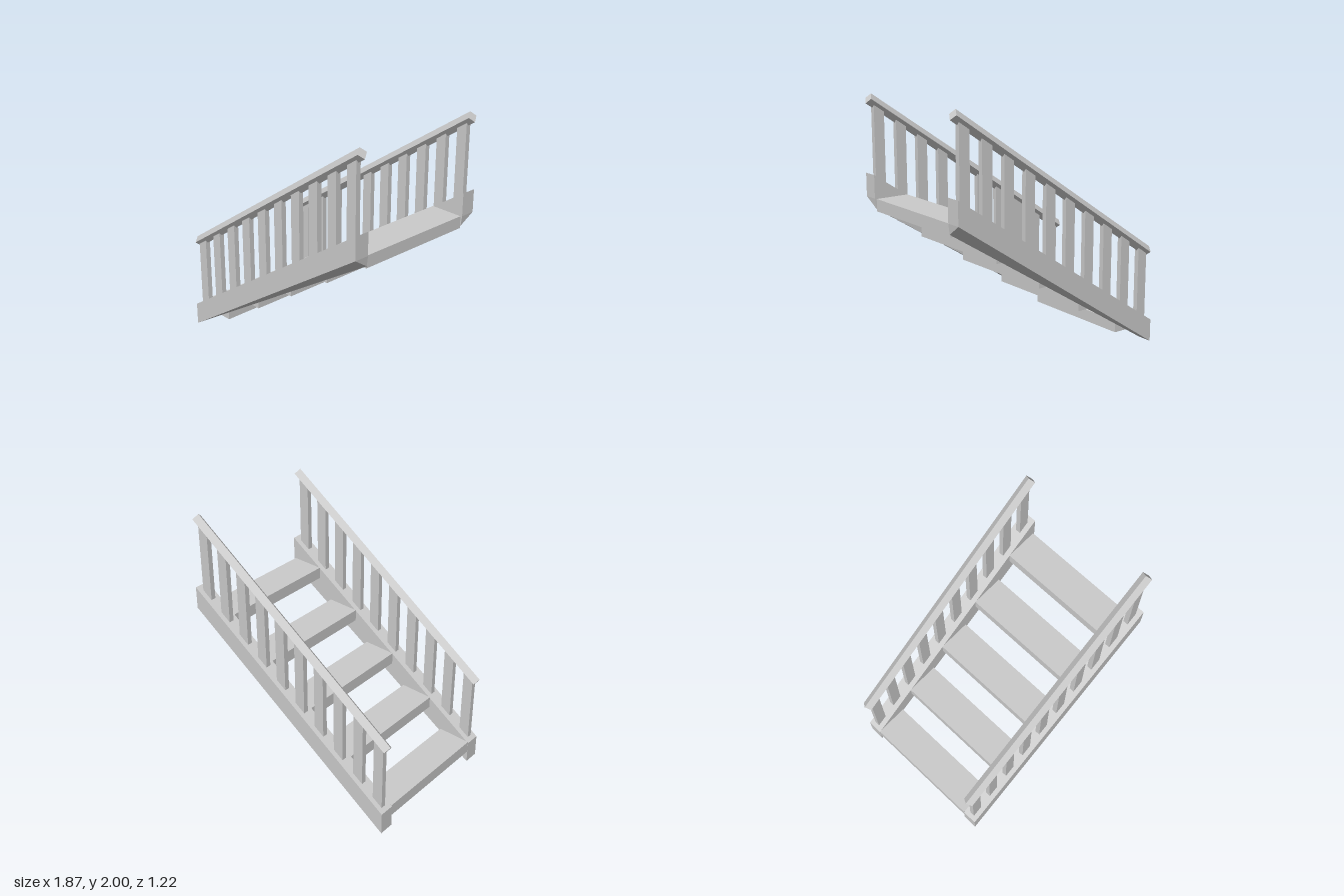
import * as THREE from 'three';
import { ConvexGeometry } from 'three/addons/geometries/ConvexGeometry.js';

const material = new THREE.MeshStandardMaterial({ color: 0xcccccc, flatShading: true });

function addMesh(parent, geometry, name) {
  const mesh = new THREE.Mesh(geometry, material);
  mesh.name = name;
  parent.add(mesh);
  return mesh;
}

// Heights of the sloping lines at a given x
const stringerTop = (x) => 0.79 + 0.663 * x;
const railAxis = (x) => 1.35 + 0.674 * x;

// Sloping side beam whose underside drops towards the inner edge at the upper end
function stringerGeometry(side) {
  const outer = 0.61 * side, inner = 0.49 * side;
  const points = [];
  for (const z of [outer, inner]) {
    for (const [x, y] of [[-0.92, 0], [-0.92, 0.18], [0.92, 1.4], [0.92, 1.22]]) {
      points.push(new THREE.Vector3(x, y, z));
    }
  }
  points.push(new THREE.Vector3(0.91, 1.14, inner));
  return new ConvexGeometry(points);
}

// Upright post with ends cut along the slope
function balusterGeometry(x) {
  const geometry = new THREE.BoxGeometry(0.085, 1, 0.04);
  const p = geometry.attributes.position;
  for (let i = 0; i < p.count; i++) {
    const px = p.getX(i) + x;
    p.setXYZ(i, px, p.getY(i) > 0 ? railAxis(px) : stringerTop(px) - 0.05, p.getZ(i));
  }
  geometry.computeVertexNormals();
  return geometry;
}

export function createModel() {
  const model = new THREE.Group();
  model.name = 'staircase';

  // Treads
  for (let i = 0; i < 5; i++) {
    const tread = addMesh(model, new THREE.BoxGeometry(0.268, 0.095, 0.98), 'tread');
    tread.position.set(-0.785 + i * 0.389, 0.144 + i * 0.256, 0);
  }

  for (const side of [1, -1]) {
    const flank = new THREE.Group();
    flank.name = side > 0 ? 'frontFlank' : 'backFlank';
    model.add(flank);

    addMesh(flank, stringerGeometry(side), 'stringer');

    // Handrail: square bar turned on its edge
    const halfRun = 0.913;
    const slope = Math.atan(0.674);
    const bar = new THREE.BoxGeometry(2 * halfRun / Math.cos(slope), 0.06, 0.06);
    bar.rotateX(Math.PI / 4);
    bar.rotateZ(slope);
    addMesh(flank, bar, 'handrail').position.set(0, railAxis(0), 0.552 * side);

    // Balusters
    for (let i = 0; i < 10; i++) {
      const baluster = addMesh(flank, balusterGeometry(-0.845 + i * 0.187), 'baluster');
      baluster.position.z = 0.552 * side;
    }
  }
  return model;
}
